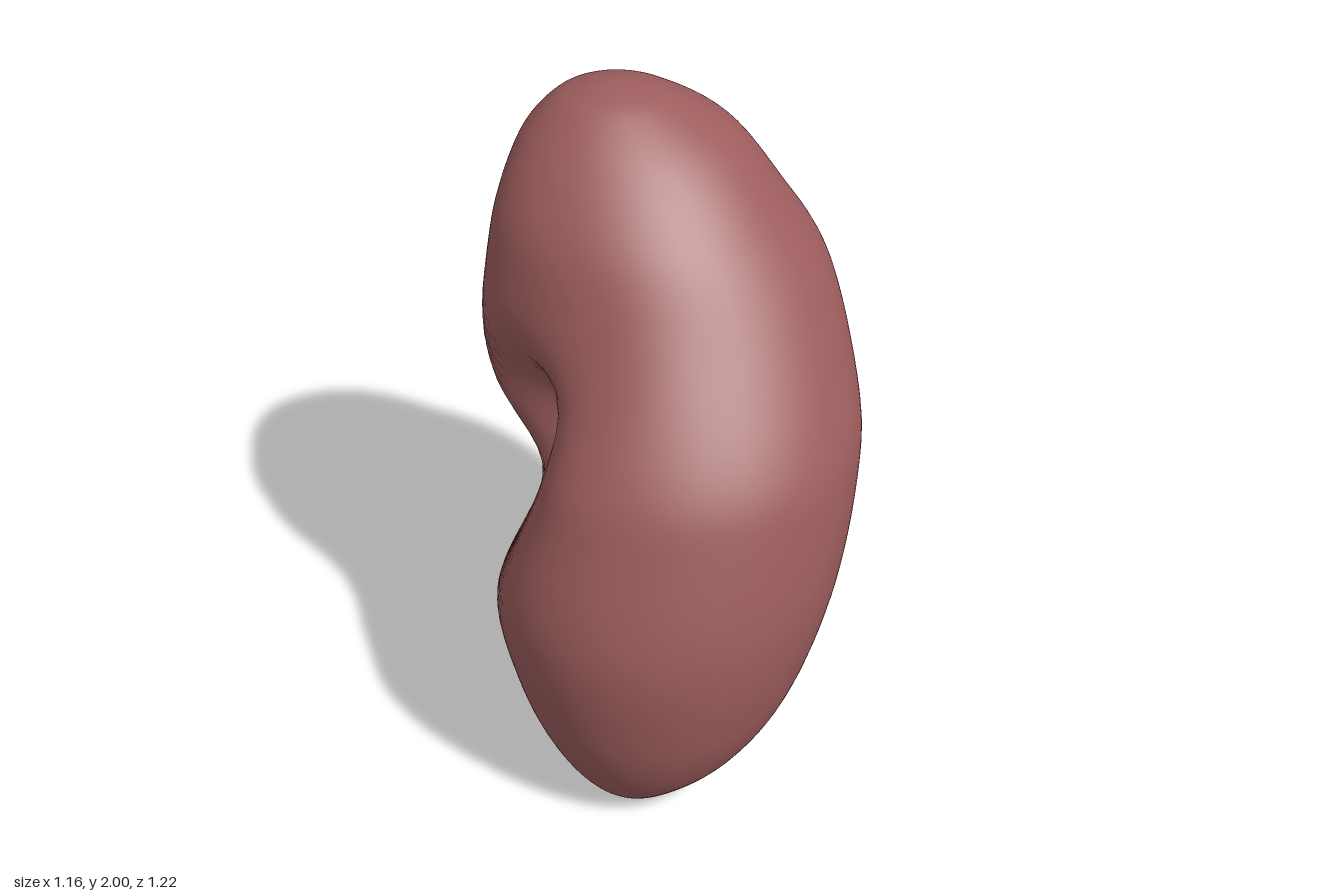
import * as THREE from 'three';

// Level sections of the bean: [height, radius, offset toward hollow, offset across]
const SECTIONS = [
  [0, 0, 0.127, 0.30], [0.015, 0.12, 0.125, 0.295], [0.06, 0.245, 0.12, 0.275],
  [0.2, 0.44, 0.08, 0.232], [0.4, 0.59, 0.05, 0.19], [0.7, 0.705, 0.025, 0.13],
  [1.0, 0.735, -0.015, 0.035], [1.2, 0.725, -0.025, -0.045], [1.5, 0.633, -0.03, -0.205],
  [1.7, 0.525, 0.016, -0.28], [1.85, 0.40, 0.046, -0.345], [1.95, 0.235, 0.08, -0.37],
  [1.987, 0.115, 0.09, -0.373], [2.0, 0, 0.09, -0.375],
];
const RINGS = 90, SIDES = 96;

const bump = (d, width) => Math.exp(-(d * d) / (width * width));

// Depth of the hollow at height y and position v across the body
function hollow(y, v) {
  const frontLip = 0.125 * bump(y - 1.16, 0.3) * bump(v - 0.11, 0.2);
  const lowerNotch = 0.13 * bump(y - 0.86, 0.18) * bump(v + 0.1, 0.23);
  const pit = 0.25 * bump(y - 1.14, 0.16) * bump(v + 0.02, 0.11);
  const rearLip = 0.035 * bump(y - 1.45, 0.28) * bump(v + 0.28, 0.17);
  return frontLip + lowerNotch + pit - rearLip;
}

function bodyGeometry() {
  const size = new THREE.CatmullRomCurve3(
    SECTIONS.map(([y, r]) => new THREE.Vector3(r, y, 0)), false, 'catmullrom', 0.5);
  const centre = new THREE.CatmullRomCurve3(
    SECTIONS.map(([y, , u, v]) => new THREE.Vector3(u, y, v)), false, 'catmullrom', 0.5);
  const positions = [], indices = [];
  for (let i = 0; i <= RINGS; i++) {
    const { x: r, y } = size.getPoint(i / RINGS);
    const c = centre.getPoint(i / RINGS);
    // sections are round below and flatter toward the top
    const flatness = 1.02 - 0.085 * y;
    const a = Math.max(r, 0.0005) / Math.hypot(1, flatness);
    for (let j = 0; j < SIDES; j++) {
      const angle = (j / SIDES) * Math.PI * 2;
      const v = c.z + a * flatness * Math.sin(angle);
      const facing = THREE.MathUtils.smoothstep(Math.cos(angle), 0, 0.7);
      const u = c.x + a * Math.cos(angle) - hollow(y, v) * facing;
      // the hollow faces diagonally toward -x, +z
      positions.push((v - u) * Math.SQRT1_2, y, (u + v) * Math.SQRT1_2);
      if (i < RINGS) {
        const p = i * SIDES + j, q = i * SIDES + (j + 1) % SIDES;
        indices.push(p, q, p + SIDES, q, q + SIDES, p + SIDES);
      }
    }
  }
  const geometry = new THREE.BufferGeometry();
  geometry.setAttribute('position', new THREE.Float32BufferAttribute(positions, 3));
  geometry.setIndex(indices);
  geometry.computeVertexNormals();
  return geometry;
}

export function createModel() {
  const group = new THREE.Group();
  group.name = 'kidney';
  const body = new THREE.Mesh(bodyGeometry(), new THREE.MeshStandardMaterial({ color: 0x9c5c5c }));
  body.name = 'kidneyBody';
  group.add(body);
  return group;
}
